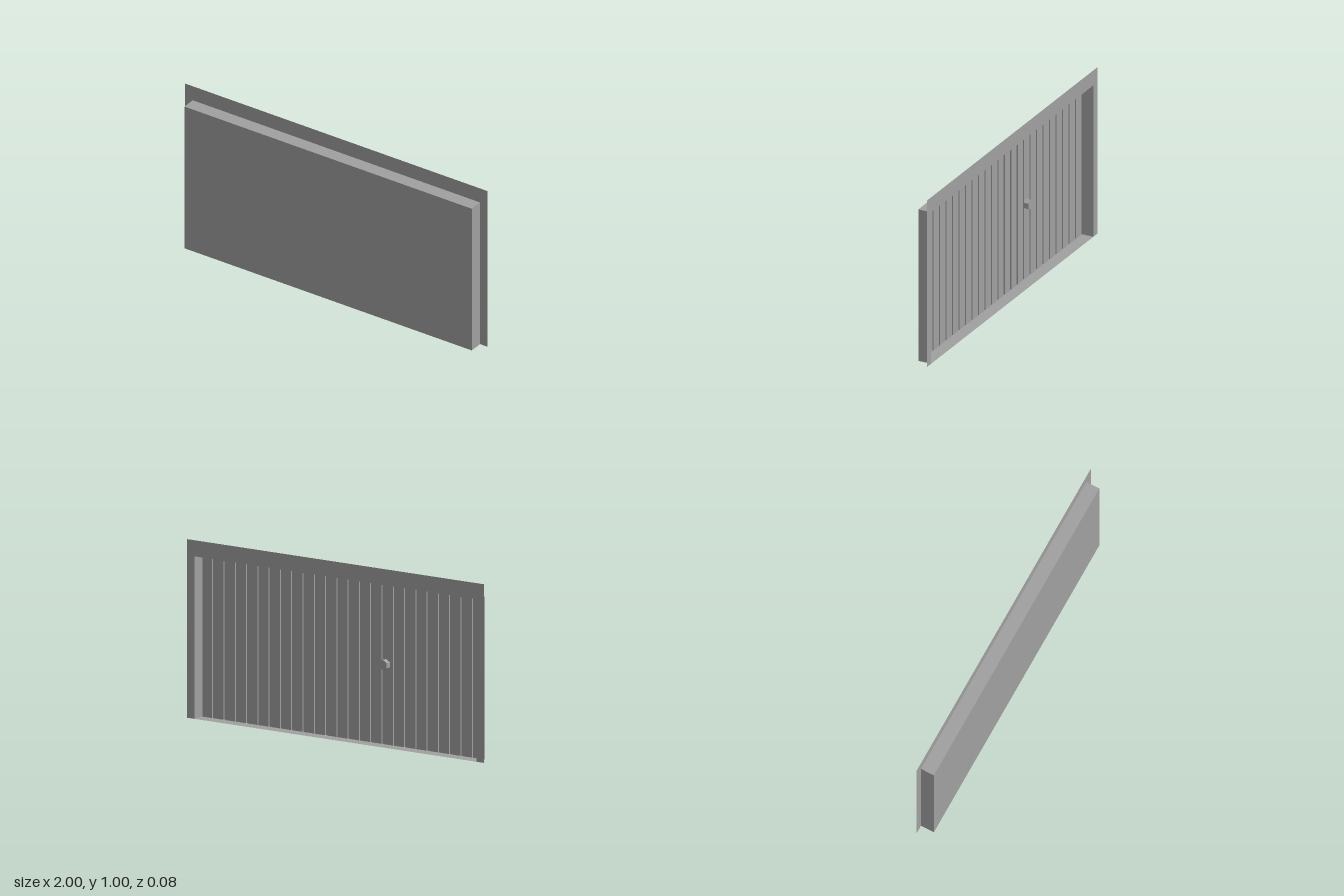
import * as THREE from 'three';

export function createModel() {
  const model = new THREE.Group();
  model.name = 'garageDoor';

  const grey = new THREE.MeshStandardMaterial({ color: 0xa0a0a0, side: THREE.DoubleSide });
  grey.name = 'grey';

  const W = 0.95, H = 0.91, BACK = -0.04, FRONT = 0.04, DEPTH = FRONT - BACK;

  function add(name, geometry, x, y, z, rx = 0, ry = 0) {
    const mesh = new THREE.Mesh(geometry, grey);
    mesh.name = name;
    mesh.position.set(x, y, z);
    mesh.rotation.set(rx, ry, 0);
    model.add(mesh);
    return mesh;
  }

  // Thin surround flange along the back: two legs and a header
  const flange = new THREE.Shape([
    [-1, 0], [-W, 0], [-W, H], [W, H], [W, 0], [1, 0], [1, 1], [-1, 1],
  ].map(([x, y]) => new THREE.Vector2(x, y)));
  add('surroundFlange', new THREE.ShapeGeometry(flange), 0, 0, BACK);

  // Shallow open-backed tray: front sheet, sides, top and bottom
  add('frontSheet', new THREE.PlaneGeometry(2 * W, H), 0, H / 2, FRONT);
  for (const s of [-1, 1]) {
    add(s > 0 ? 'leftWall' : 'rightWall', new THREE.PlaneGeometry(DEPTH, H), s * W, H / 2, 0, 0, s * Math.PI / 2);
  }
  add('topWall', new THREE.PlaneGeometry(2 * W, DEPTH), 0, H, 0, -Math.PI / 2);
  add('bottomWall', new THREE.PlaneGeometry(2 * W, DEPTH), 0, 0, 0, Math.PI / 2);

  // Vertical planks with narrow grooves on the back
  const count = 25, pitch = 2 * W / count, gap = 0.012, thick = 0.01;
  const plank = new THREE.BoxGeometry(pitch - gap, H - 0.002, thick - 0.001);
  for (let i = 0; i < count; i++) {
    add('plank', plank, -W + (i + 0.5) * pitch, H / 2, FRONT - thick / 2 - 0.0005);
  }

  // Six-sided knob
  const knob = new THREE.CylinderGeometry(0.03, 0.03, 0.03, 6).toNonIndexed();
  knob.computeVertexNormals();
  add('knob', knob, -0.29, 0.45, 0.015, Math.PI / 2);

  return model;
}
